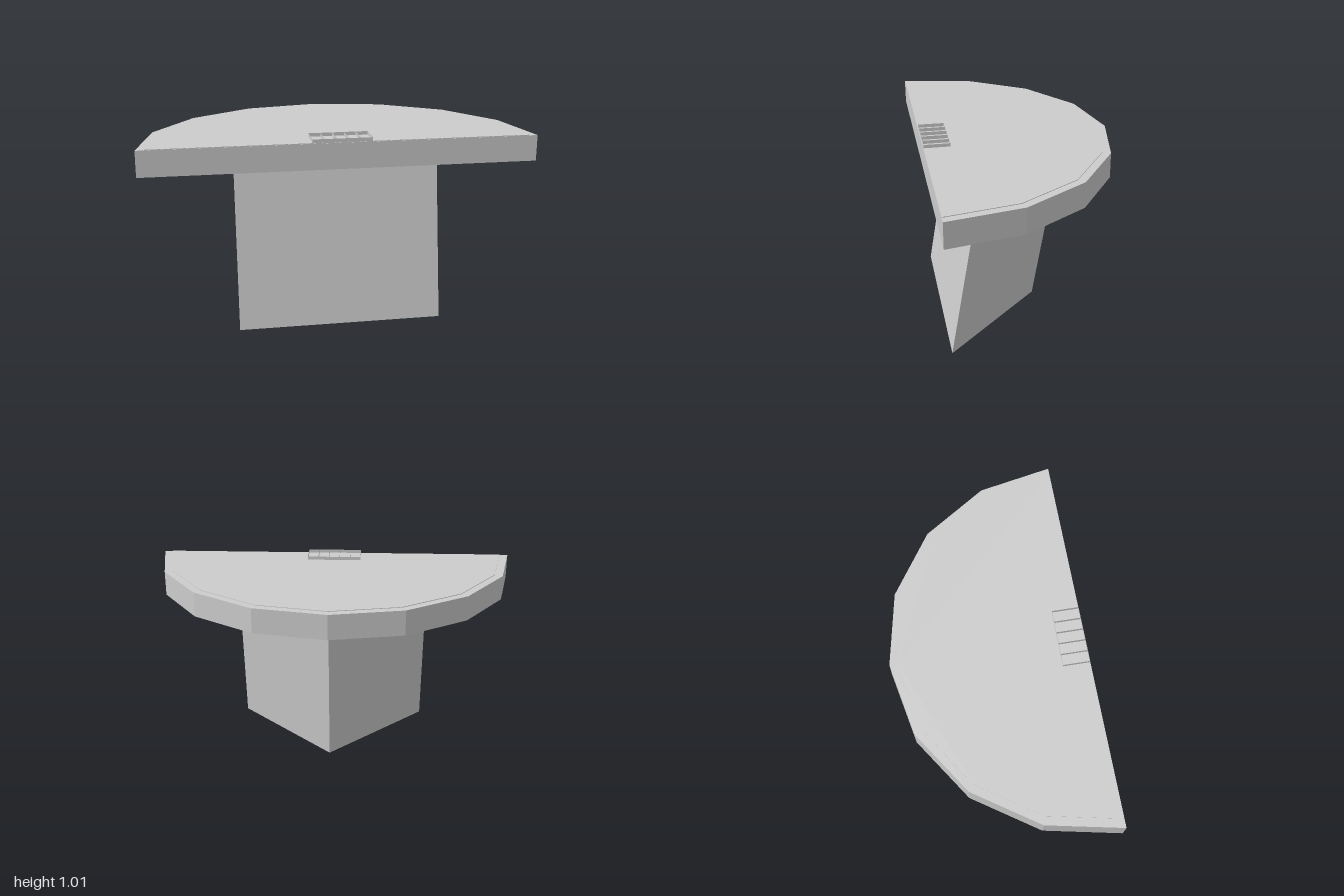
import * as THREE from 'three';

const grey = new THREE.MeshStandardMaterial({ color: 0xcccccc, flatShading: true });
grey.name = 'grey';
const thinGrey = grey.clone();
thinGrey.name = 'grey';
thinGrey.side = THREE.DoubleSide;

// Solid faceted half disc, straight side facing +z at z = 0, base at y = 0
function halfDisc(radius, segments, height) {
  const points = [];
  for (let i = 0; i <= segments; i++) {
    const a = (i / segments) * Math.PI;
    points.push(new THREE.Vector2(Math.cos(a) * radius, Math.sin(a) * radius));
  }
  const geometry = new THREE.ExtrudeGeometry(new THREE.Shape(points), { depth: height, bevelEnabled: false });
  return geometry.rotateX(-Math.PI / 2);
}

function addPart(parent, name, geometry, x, y, z, material = grey) {
  const mesh = new THREE.Mesh(geometry, material);
  mesh.name = name;
  mesh.position.set(x, y, z);
  parent.add(mesh);
  return mesh;
}

export function createModel() {
  const model = new THREE.Group();
  model.name = 'halfRoundTable';

  // Table top with a very slightly raised inset surface
  addPart(model, 'tableTop', halfDisc(1, 8, 0.133), 0, 0.861, 0.5);
  addPart(model, 'topSurface', halfDisc(0.955, 8, 0.003), 0, 0.994, 0.498);

  // Triangular pedestal leaning backwards
  const leg = halfDisc(0.533, 2, 0.861);
  const p = leg.attributes.position;
  for (let i = 0; i < p.count; i++) p.setZ(i, p.getZ(i) - p.getY(i) * 0.174);
  leg.computeVertexNormals();
  addPart(model, 'pedestal', leg, 0.0075, 0, 0.43);

  // Small open rack of thin upright walls at the front edge
  const rack = new THREE.Group();
  rack.name = 'rack';
  const cells = 5, width = 0.3, depth = 0.138, height = 0.019;
  for (const z of [-1, 1]) {
    addPart(rack, 'rackLongWall', new THREE.PlaneGeometry(width, height), 0, height / 2, z * depth / 2, thinGrey);
  }
  for (let i = 0; i <= cells; i++) {
    const divider = new THREE.PlaneGeometry(depth, height).rotateY(Math.PI / 2);
    addPart(rack, 'rackDivider', divider, (i / cells - 0.5) * width, height / 2, 0, thinGrey);
  }
  rack.position.set(0, 0.996, 0.428);
  model.add(rack);

  return model;
}
